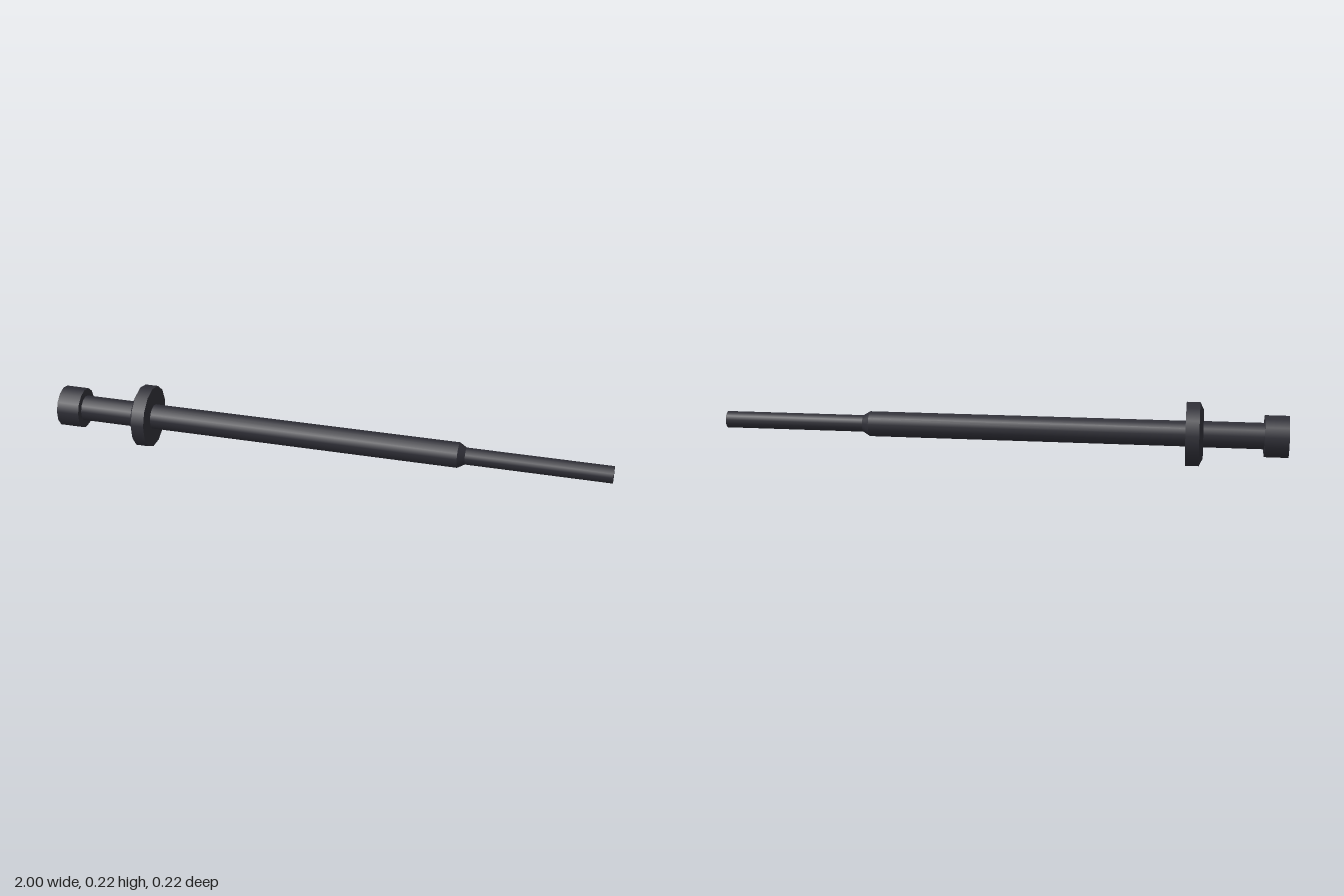
import * as THREE from 'three';

const SIDES = 13;
const AXIS_Y = 0.11;

export function createModel() {
  const group = new THREE.Group();
  group.name = 'steppedPin';
  const metal = new THREE.MeshStandardMaterial({ color: 0x2e2e36 });
  metal.name = 'dark metal';

  // Round section along x, from x0 (radius r0) to x1 (radius r1), one corner pointing up
  function section(name, x0, x1, r0, r1 = r0) {
    const g = new THREE.CylinderGeometry(r1, r0, x1 - x0, SIDES, 1, false, -Math.PI / 2);
    g.rotateZ(-Math.PI / 2);
    const mesh = new THREE.Mesh(g, metal);
    mesh.name = name;
    mesh.position.set((x0 + x1) / 2, AXIS_Y, 0);
    group.add(mesh);
  }

  section('head', -1, -0.917, 0.073);
  section('neck', -0.917, -0.705, 0.046);
  // Flange with a bevel facing the head
  section('flangeBevel', -0.71, -0.697, 0.085, 0.112);
  section('flange', -0.697, -0.65, 0.112);
  section('shaft', -0.65, 0.47, 0.045);
  section('shaftTaper', 0.47, 0.495, 0.045, 0.03);
  section('tip', 0.495, 1, 0.03);

  return group;
}
